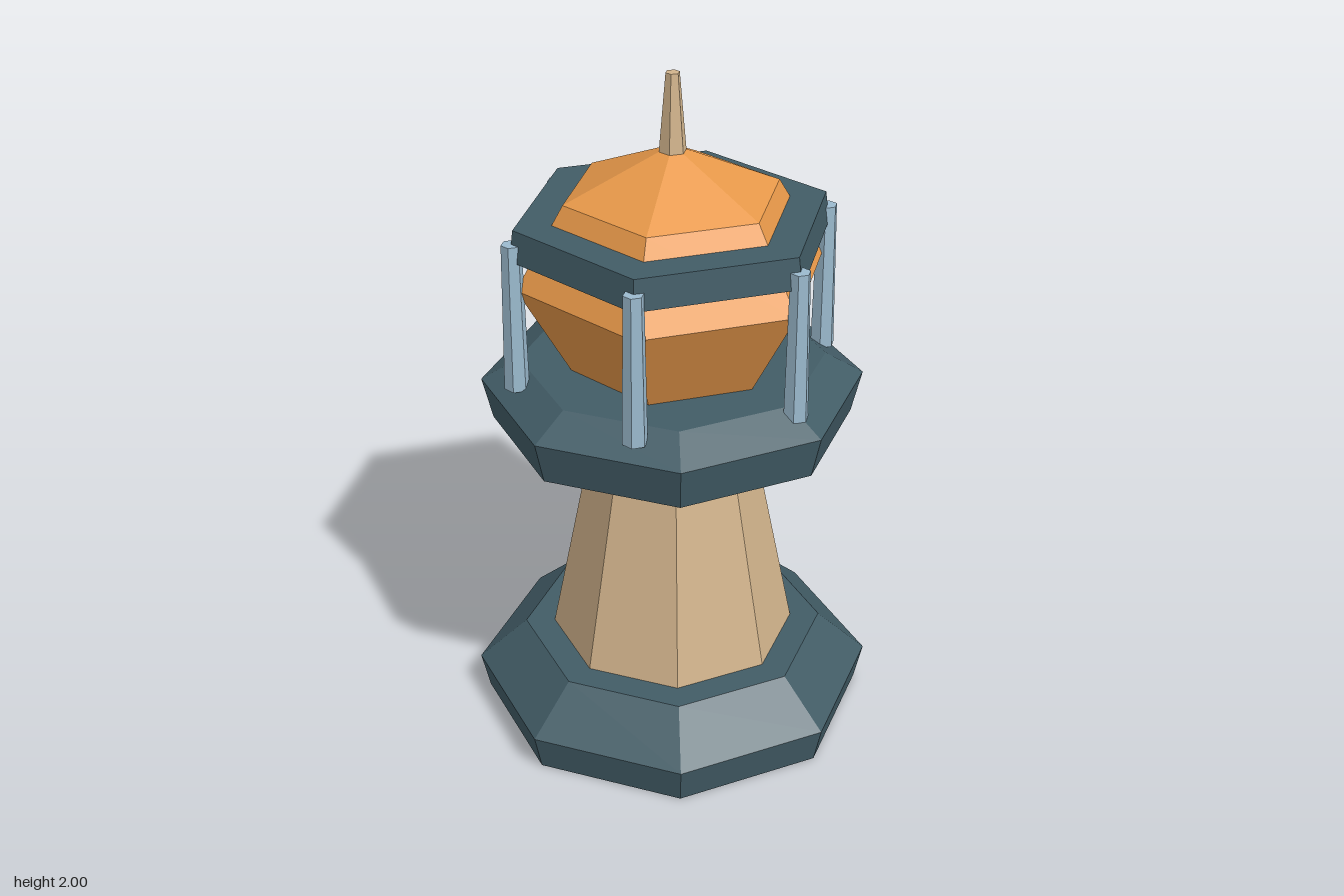
import * as THREE from 'three';

const mat = (name, color) => {
  const m = new THREE.MeshStandardMaterial({ color });
  m.name = name;
  return m;
};

// Faceted solid of revolution; the profile is [radius, y] from bottom to top
function faceted(name, profile, sides, material) {
  const points = profile.map(([r, y]) => new THREE.Vector2(r, y));
  const start = sides === 6 ? Math.PI / 2 : 0; // a corner always points along x
  const geometry = new THREE.LatheGeometry(points, sides, start).toNonIndexed();
  geometry.computeVertexNormals();
  const mesh = new THREE.Mesh(geometry, material);
  mesh.name = name;
  return mesh;
}

export function createModel() {
  const slate = mat('dark slate', 0x425c66);
  const stone = mat('sandstone', 0xd2b48c);
  const amber = mat('amber', 0xe8994a);
  const steel = mat('pale steel', 0x9bbace);

  const model = new THREE.Group();
  model.name = 'lighthouse';

  // Octagonal base, tower and gallery
  model.add(
    faceted('base', [[0, 0], [0.57, 0], [0.595, 0.11], [0.45, 0.24], [0, 0.24]], 8, slate),
    faceted('tower', [[0.365, 0.23], [0.25, 0.81], [0.365, 0.965]], 8, stone),
    faceted('gallery', [[0, 0.96], [0.52, 0.96], [0.55, 1.085], [0.44, 1.15], [0, 1.15]], 8, slate)
  );

  // Hexagonal lantern, its roof ring and finial
  model.add(
    faceted('lantern', [[0, 1.14], [0.295, 1.14], [0.45, 1.42], [0.312, 1.655], [0, 1.795]], 6, amber),
    faceted('roofRing', [[0, 1.51], [0.465, 1.51], [0.453, 1.6], [0, 1.6]], 6, slate),
    faceted('finial', [[0, 1.77], [0.04, 1.77], [0.02, 2], [0, 2]], 6, stone)
  );

  // Tapered posts around the lantern
  const posts = new THREE.Group();
  posts.name = 'posts';
  for (let i = 0; i < 6; i++) {
    const a = (i * Math.PI) / 3;
    const post = faceted('post', [[0, 1.12], [0.036, 1.12], [0.029, 1.56], [0, 1.56]], 6, steel);
    post.position.set(0.458 * Math.cos(a), 0, 0.458 * Math.sin(a));
    posts.add(post);
  }
  model.add(posts);
  return model;
}
